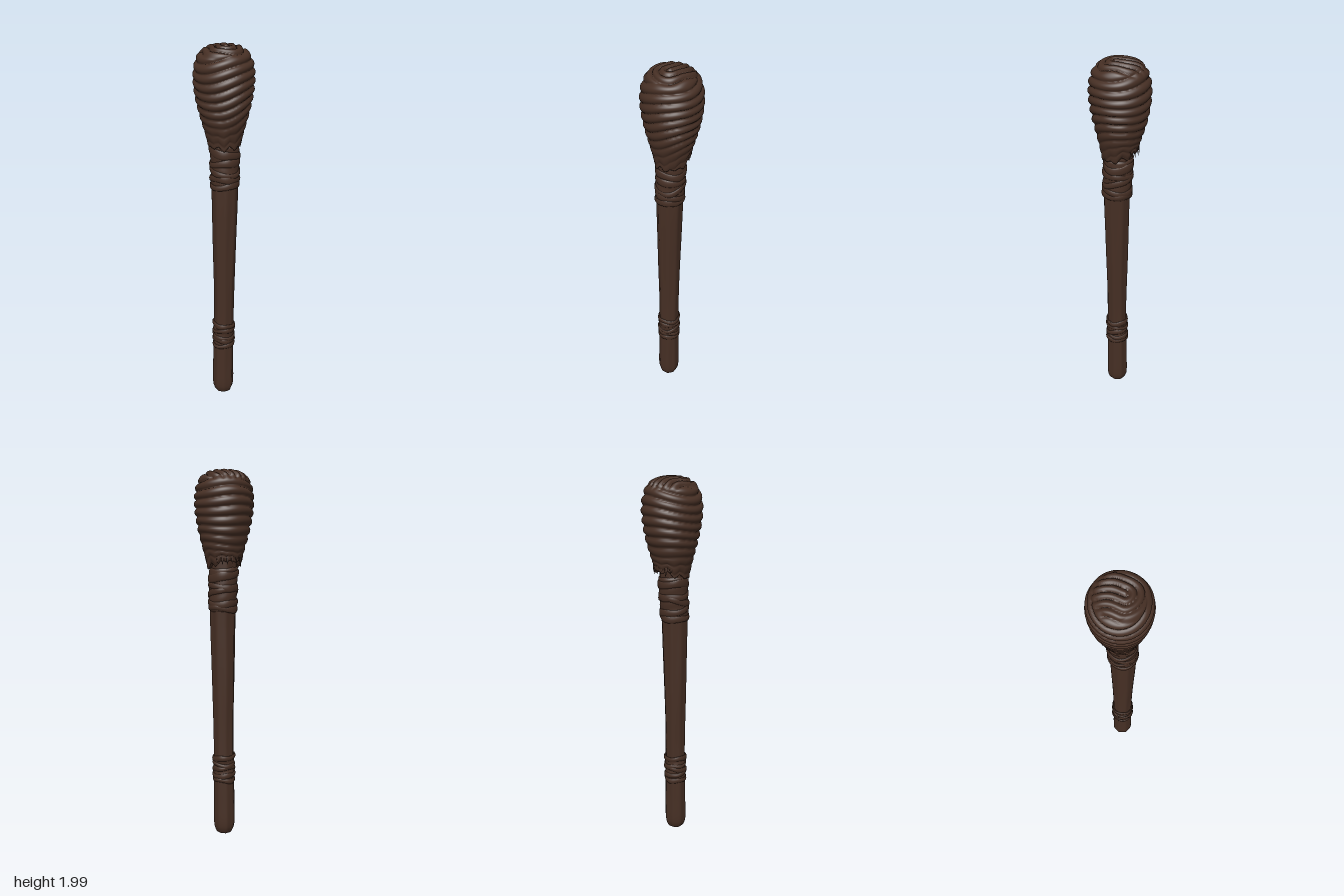
import * as THREE from 'three';

const TAU = Math.PI * 2;
const { lerp, smoothstep } = THREE.MathUtils;
const brown = new THREE.MeshStandardMaterial({ color: 0x462f24 });
brown.name = 'dark brown';

// Smooth surface closed around u; rule(u, v, j) gives a point, u and v in 0..1
function loft(name, nu, nv, rule, closedV = false) {
  const pos = [], idx = [];
  const rows = closedV ? nv : nv + 1;
  for (let j = 0; j < rows; j++)
    for (let i = 0; i < nu; i++) pos.push(...rule(i / nu, j / nv, j));
  for (let j = 0; j < nv; j++) {
    for (let i = 0; i < nu; i++) {
      const k = (i + 1) % nu, n = (j + 1) % rows;
      const a = j * nu + i, b = j * nu + k, c = n * nu + i, d = n * nu + k;
      idx.push(a, b, d, a, d, c);
    }
  }
  const geo = new THREE.BufferGeometry();
  geo.setAttribute('position', new THREE.Float32BufferAttribute(pos, 3));
  geo.setIndex(idx);
  geo.computeVertexNormals();
  const mesh = new THREE.Mesh(geo, brown);
  mesh.name = name;
  return mesh;
}

const spline = pts => new THREE.SplineCurve(pts.map(p => new THREE.Vector2(...p)));

// Slightly leaning centre line of the torch
const centreX = y => lerp(-0.013, -0.002, Math.min(y / 1.4, 1));
const centreZ = y => lerp(0.018, 0, smoothstep(y, 1.15, 1.7));
const around = (a, r, y) => [centreX(y) + r * Math.sin(a), y, centreZ(y) + r * Math.cos(a)];

// Rounded cloth fold with a narrow crease at whole numbers
const fold = p => Math.pow(Math.abs(Math.sin(Math.PI * p)), 0.65) - 0.6;

// Hewn wooden shaft: softened octagon with a rounded butt
function shaft() {
  const profile = spline([[0, 0], [0.034, 0.004], [0.05, 0.025], [0.058, 0.07], [0.057, 0.2],
    [0.055, 0.4], [0.055, 0.6], [0.062, 0.9], [0.069, 1.2], [0.072, 1.42], [0.07, 1.58]]);
  return loft('shaft', 48, 60, (u, v) => {
    const p = profile.getPoint(v), a = u * TAU;
    const side = TAU / 8;
    const local = (((a + 0.2) % side) + side) % side - side / 2;
    const facet = 0.955 / Math.cos(local);
    const hewn = 0.012 * Math.sin(3 * a + p.y * 5) + 0.01 * Math.sin(5 * a - p.y * 9);
    return around(a, p.x * (facet + hewn), p.y);
  });
}

// Flat cord loop, tilted around the shaft
function cord(y0, r, half, thick, tilt, phase) {
  return loft('cord', 48, 10, (u, v) => {
    const a = u * TAU, s = v * TAU;
    const y = y0 + tilt * Math.sin(a + phase) + 0.003 * Math.sin(3 * a + phase * 2);
    const wide = half * (1 + 0.15 * Math.sin(2 * a + phase));
    const rr = r + 0.0015 * Math.sin(4 * a + phase) + thick * Math.cos(s);
    return around(a, rr, y + wide * Math.sin(s));
  }, true);
}

function binding(name, y0, y1, r0, r1, cords) {
  const g = new THREE.Group();
  g.name = name;
  // Cloth sleeve under the cords
  g.add(loft('sleeve', 40, 24, (u, v) => {
    const a = u * TAU, y = lerp(y0, y1, v) + 0.005 * Math.sin(a + y0 * 7);
    const end = v === 0 || v === 1 ? -0.012 : 0;
    return around(a, lerp(r0, r1, v) + end + 0.0015 * Math.sin(v * 22 + 2 * Math.sin(a)), y);
  }));
  for (const [y, half, tilt, phase] of cords)
    g.add(cord(y, lerp(r0, r1, (y - y0) / (y1 - y0)), half, 0.006, tilt, phase));
  return g;
}

// Wrapped cloth head: winding folds on the side, U-shaped folds on the crown, ragged hem
function head() {
  const profile = spline([[0.084, 1.475], [0.097, 1.53], [0.115, 1.6], [0.134, 1.68],
    [0.148, 1.76], [0.153, 1.83], [0.147, 1.89], [0.128, 1.94], [0.095, 1.971],
    [0.05, 1.985], [0, 1.988]]);
  return loft('clothHead', 120, 110, (u, v, j) => {
    const a = u * TAU, t = Math.max(0, (j - 1) / 109);
    const p = profile.getPoint(t), tan = profile.getTangent(t);
    const x = p.x * Math.sin(a), z = p.x * Math.cos(a);
    // Winding folds rising toward the model's left, with uneven slack
    const wind = p.y * 21 - u + 0.55 * Math.sin(a + 2.6) + 0.25 * Math.sin(2 * a + p.y * 9);
    const side = fold(wind) * lerp(0.004, 0.016, smoothstep(p.y, 1.52, 1.72));
    // Crown folds bend around the front and run to the back
    const q = Math.hypot(x - 0.01 + 0.006 * Math.sin(z * 40), Math.max(0, z - 0.02));
    const crown = fold(q / 0.036 + 0.5) * 0.017;
    const d = lerp(side, crown, smoothstep(p.y, 1.925, 1.97));
    const low = 1 - smoothstep(t, 0, 0.22);
    const back = Math.pow(0.5 - 0.5 * Math.cos(a), 2);
    const zig = 0.009 * (Math.abs((u * 20) % 2 - 1) * 2 - 1) + 0.006 * Math.sin(a * 7 + 1);
    const hem = low * (0.045 * back + zig);
    const flare = low * 0.012 * back;
    // First row tucks inside to close the hem
    if (j === 0) return around(a, 0.06, p.y + hem + 0.015);
    return around(a, p.x + tan.y * d + flare, p.y - tan.x * d + hem);
  });
}

// Short torn strips hanging from the back of the head
function tatters() {
  const g = new THREE.Group();
  g.name = 'tatters';
  for (let i = 0; i < 7; i++) {
    const a = Math.PI + (i - 3) * 0.26;
    const strip = new THREE.Mesh(new THREE.ConeGeometry(0.014, 0.05 + 0.012 * (i % 3), 5), brown);
    strip.name = 'tatter';
    strip.scale.z = 0.4;
    strip.position.set(...around(a, 0.1, 1.535 - 0.006 * (i % 2)));
    strip.rotation.set(Math.PI - 0.15, a, 0, 'YXZ');
    g.add(strip);
  }
  return g;
}

export function createModel() {
  const model = new THREE.Group();
  model.name = 'torch';
  model.add(shaft(), head(), tatters());
  model.add(binding('upperBinding', 1.25, 1.49, 0.074, 0.076, [
    [1.268, 0.017, 0.008, 0.4], [1.3, 0.018, 0.012, 2.2], [1.35, 0.016, 0.022, 4.6],
    [1.385, 0.018, 0.01, 1.2], [1.44, 0.022, 0.014, 3.4]]));
  model.add(binding('lowerBinding', 0.305, 0.45, 0.057, 0.057, [
    [0.315, 0.013, 0.004, 0.5], [0.345, 0.014, 0.008, 2.5], [0.375, 0.013, 0.012, 4.8],
    [0.405, 0.012, 0.009, 1.3], [0.44, 0.014, 0.006, 3.6]]));
  return model;
}
